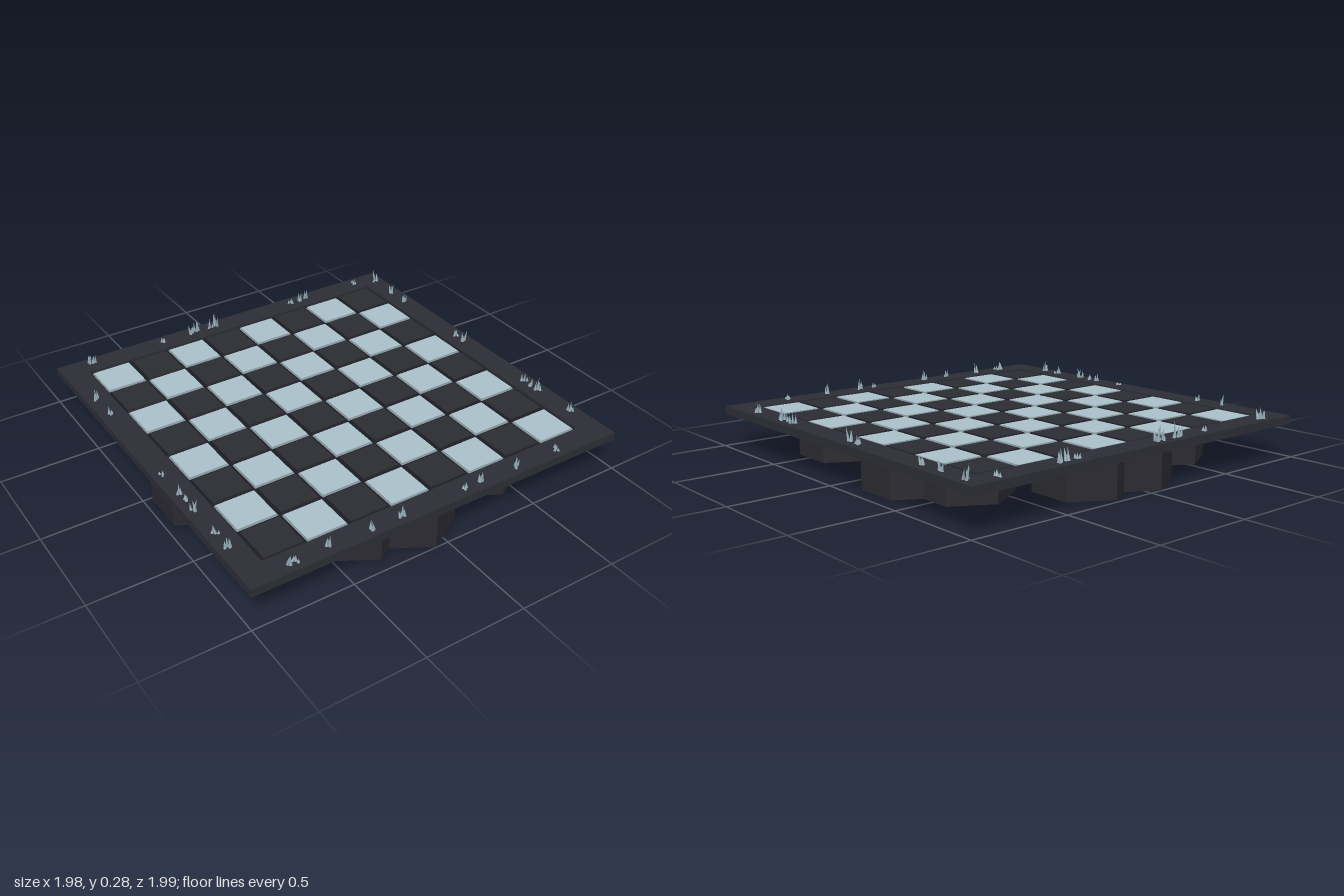
import * as THREE from 'three';

const mat = (name, color) => {
  const m = new THREE.MeshStandardMaterial({ color });
  m.name = name;
  return m;
};

export function createModel() {
  const model = new THREE.Group();
  model.name = 'stoneGameBoard';

  const basalt = mat('basalt', 0x2a2a31);
  const frameStone = mat('frameStone', 0x2d2d36);
  const groove = mat('groove', 0x1b1b22);
  const darkTile = mat('darkTile', 0x2c2b33);
  const paleTile = mat('paleTile', 0xabc0ca);
  const paleRim = mat('paleRim', 0x82949c);
  const crystal = mat('crystal', 0x93abb5);

  const add = (parent, name, geometry, material, x, y, z) => {
    const mesh = new THREE.Mesh(geometry, material);
    mesh.name = name;
    mesh.position.set(x, y, z);
    parent.add(mesh);
    return mesh;
  };
  const group = (name) => {
    const g = new THREE.Group();
    g.name = name;
    model.add(g);
    return g;
  };

  // Hexagonal basalt columns: one in the middle, twelve outside, six inside
  const columns = group('columns');
  const hex = new THREE.CylinderGeometry(0.22, 0.22, 0.167, 6).toNonIndexed();
  hex.computeVertexNormals();
  for (let i = 0; i <= 18; i++) {
    const angle = (i * 3 / 19) * Math.PI * 2;
    const ring = i === 0 ? 0 : i <= 12 ? 0.78 : 0.43;
    add(columns, 'basaltColumn', hex, basalt, ring * Math.cos(angle), 0.0835, ring * Math.sin(angle));
  }

  // Board bed and the four frame rails
  add(model, 'boardBed', new THREE.BoxGeometry(1.74, 0.027, 1.74), groove, 0, 0.1805, 0);
  const rails = group('frame');
  for (const s of [-1, 1]) {
    add(rails, 'crossRail', new THREE.BoxGeometry(1.98, 0.041, 0.125), frameStone, 0, 0.1855, s * 0.9275);
    add(rails, 'sideRail', new THREE.BoxGeometry(0.125, 0.041, 1.73), frameStone, s * 0.9275, 0.1855, 0);
  }

  // Bevelled tiles in an eight by eight chequer, pale at the back left
  const tiles = group('tiles');
  const pitch = 0.215;
  const bevel = new THREE.CylinderGeometry(0.097 * Math.SQRT2, 0.103 * Math.SQRT2, 0.01, 4, 1, true)
    .rotateY(Math.PI / 4).toNonIndexed();
  bevel.computeVertexNormals();
  const face = new THREE.PlaneGeometry(0.194, 0.194).rotateX(-Math.PI / 2);
  for (let row = 0; row < 8; row++) {
    for (let col = 0; col < 8; col++) {
      const pale = (row + col) % 2 === 0;
      const x = (col - 3.5) * pitch, z = (row - 3.5) * pitch;
      add(tiles, 'tileBevel', bevel, pale ? paleRim : groove, x, 0.198, z);
      add(tiles, 'tileFace', face, pale ? paleTile : darkTile, x, 0.203, z);
    }
  }

  // Crystal clusters along each rail: [position, height]
  const clusters = {
    back: [[-0.83, 0.06], [-0.8, 0.055], [-0.42, 0.03], [-0.25, 0.05], [-0.21, 0.075], [-0.13, 0.055],
      [-0.1, 0.08], [0.39, 0.03], [0.44, 0.065], [0.48, 0.06], [0.82, 0.035]],
    front: [[-0.79, 0.05], [-0.75, 0.03], [-0.585, 0.06], [-0.38, 0.045], [-0.22, 0.06],
      [0.135, 0.03], [0.225, 0.06], [0.42, 0.06], [0.665, 0.03]],
    left: [[-0.61, 0.06], [-0.46, 0.04], [0.12, 0.02], [0.28, 0.045], [0.35, 0.035],
      [0.42, 0.065], [0.61, 0.045], [0.71, 0.06]],
    right: [[-0.9, 0.07], [-0.73, 0.055], [-0.6, 0.05], [-0.14, 0.04], [-0.07, 0.07],
      [0.41, 0.05], [0.46, 0.04], [0.51, 0.07], [0.74, 0.055]],
  };
  let seed = 7;
  const rand = () => (seed = (seed * 16807) % 2147483647) / 2147483647;
  const crystals = group('crystals');
  const spike = new THREE.ConeGeometry(1, 1, 5).translate(0, 0.5, 0).toNonIndexed();
  spike.computeVertexNormals();
  const cluster = (cx, cz, height) => {
    for (let i = 0; i < 4; i++) {
      const h = height * (i === 0 ? 1 : 0.45 + 0.45 * rand());
      const a = rand() * Math.PI * 2;
      const d = i === 0 ? 0 : 0.014;
      const mesh = add(crystals, 'crystalSpike', spike, crystal,
        cx + d * Math.cos(a), 0.204, cz + d * Math.sin(a));
      mesh.scale.set(0.008, h, 0.008);
      mesh.rotation.set((rand() - 0.5) * 0.35, a, (rand() - 0.5) * 0.35);
    }
  };
  const at = 0.94;
  clusters.back.forEach(([p, h]) => cluster(p, -at, h));
  clusters.front.forEach(([p, h]) => cluster(p, at, h));
  clusters.left.forEach(([p, h]) => cluster(-at, p, h));
  clusters.right.forEach(([p, h]) => cluster(at, p, h));

  return model;
}
